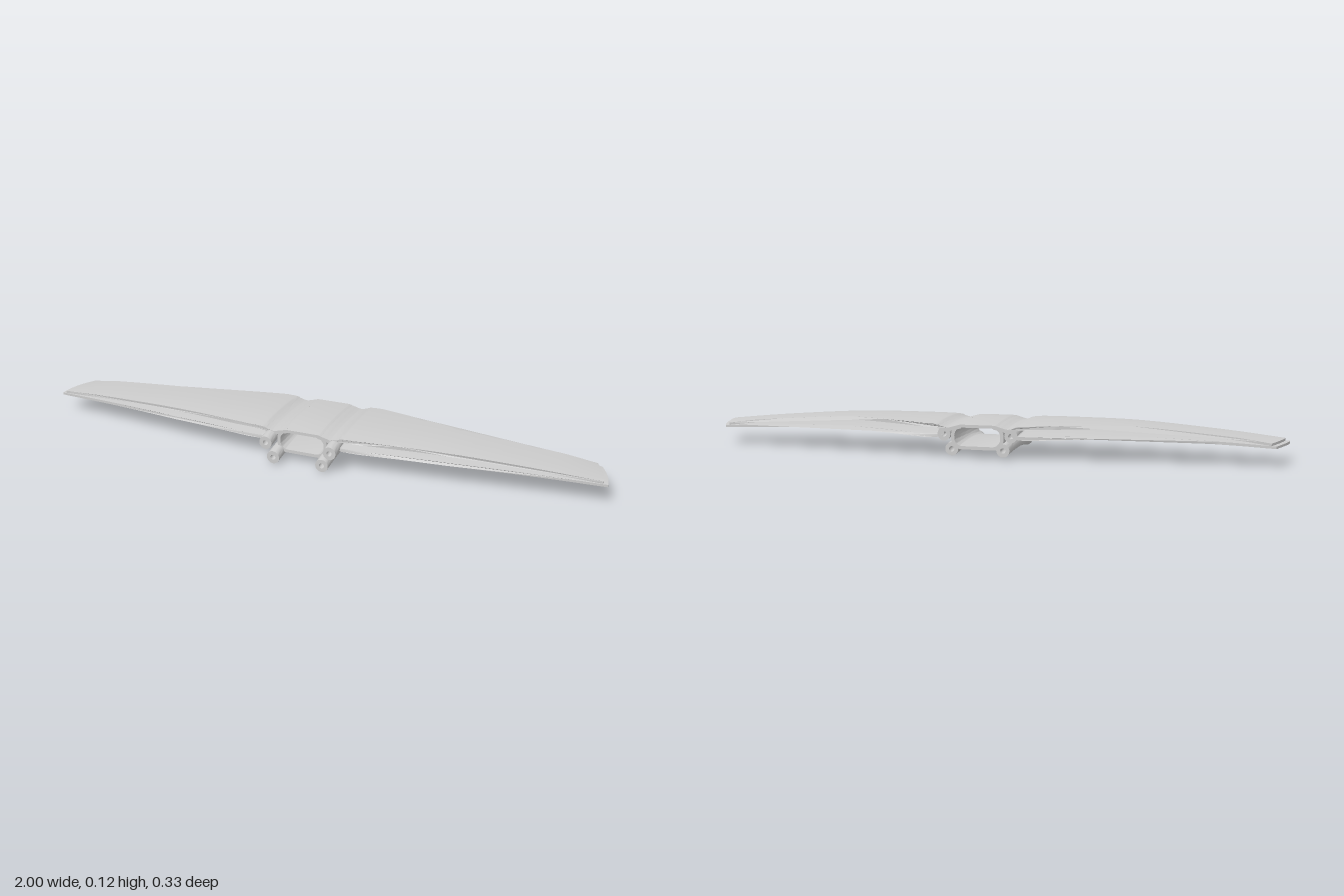
import * as THREE from 'three';
import { toCreasedNormals } from 'three/addons/utils/BufferGeometryUtils.js';

const material = new THREE.MeshStandardMaterial({ color: 0xcccccc, side: THREE.DoubleSide });
const FRONT = 0.125, BACK = -0.167, END = 0.167;

// Fore-and-aft camber shared by every part
const arch = (z) => -(z > 0 ? 0.5 : 0.3) * z * z;

// Straight-line interpolation through [x, value] pairs
function along(points, x) {
  for (let i = 1; i < points.length; i++) {
    const [x0, v0] = points[i - 1], [x1, v1] = points[i];
    if (x <= x1) return v0 + ((v1 - v0) * (x - x0)) / (x1 - x0);
  }
  return points[points.length - 1][1];
}
const leadingEdge = (x) => along([[0, FRONT], [0.2, FRONT], [0.5, 0.1], [1, 0.04]], x);
const trailingEdge = (x) => along([[0, BACK], [0.18, BACK], [0.5, -0.087], [1, -0.09]], x);

// Extrudes an x-y section by one unit, then places each vertex with a rule
function sweep(name, shape, place) {
  const geometry = new THREE.ExtrudeGeometry(shape, {
    depth: 1, steps: 16, bevelEnabled: false, curveSegments: 10,
  });
  const p = geometry.attributes.position;
  for (let i = 0; i < p.count; i++) {
    const [x, z] = place(p.getX(i), p.getZ(i));
    p.setXYZ(i, x, p.getY(i) + arch(z), z);
  }
  const mesh = new THREE.Mesh(toCreasedNormals(geometry, 0.6), material);
  mesh.name = name;
  return mesh;
}

// Thin wing skin: span profile given by its top line, tapered in plan
function skin(name, side, profile, tipInset) {
  const top = new THREE.SplineCurve(profile.map(([x, y]) => new THREE.Vector2(x, y))).getPoints(60);
  const under = top.map((v) => new THREE.Vector2(v.x, v.y - 0.013 + 0.005 * v.x)).reverse();
  const shape = new THREE.Shape([...top, ...under].map((v) => new THREE.Vector2(v.x * side, v.y)));
  return sweep(name, shape, (x, t) => {
    const ax = Math.abs(x);
    const z = THREE.MathUtils.lerp(trailingEdge(ax), leadingEdge(ax), t);
    // The tip sweeps inboard towards the rear
    const tip = Math.max(0, (ax - 0.85) / 0.15);
    return [x - side * tip * (tipInset + 0.04 * (1 - t) ** 1.6), z];
  });
}

// Cambered pipe with a bore
function pipe(name, x, y) {
  const shape = new THREE.Shape().absarc(x, y, 0.0225, 0, Math.PI * 2);
  shape.holes.push(new THREE.Path().absarc(x, y, 0.009, 0, Math.PI * 2, true));
  return sweep(name, shape, (px, t) => [px, END * (2 * t - 1)]);
}

// Rounded rectangle outline
function oval(path, w, y0, y1, r) {
  path.absarc(w - r, y0 + r, r, -Math.PI / 2, 0);
  path.absarc(w - r, y1 - r, r, 0, Math.PI / 2);
  path.absarc(-w + r, y1 - r, r, Math.PI / 2, Math.PI);
  path.absarc(-w + r, y0 + r, r, Math.PI, Math.PI * 1.5);
  path.closePath();
  return path;
}

export function createModel() {
  const model = new THREE.Group();
  model.name = 'wing';

  // Central hollow duct
  const duct = oval(new THREE.Shape(), 0.09, 0.036, 0.119, 0.036);
  duct.holes.push(oval(new THREE.Path(), 0.079, 0.047, 0.109, 0.028));
  model.add(sweep('centreDuct', duct, (x, t) => [x, BACK + (FRONT - BACK) * t]));

  const upper = [[0.055, 0.119], [0.08, 0.113], [0.103, 0.1075], [0.125, 0.112],
    [0.155, 0.119], [0.3, 0.12], [0.5, 0.117], [0.75, 0.1], [1, 0.078]];
  const lower = [[0.115, 0.098], [0.135, 0.088], [0.17, 0.085], [0.4, 0.085],
    [0.7, 0.08], [1, 0.069]];

  for (const [label, side] of [['left', 1], ['right', -1]]) {
    model.add(skin(label + 'UpperSkin', side, upper, 0.015));
    model.add(skin(label + 'LowerSkin', side, lower, 0));
    model.add(pipe(label + 'UpperPipe', side * 0.115, 0.0855));
    model.add(pipe(label + 'LowerPipe', side * 0.088, 0.0365));
  }
  return model;
}
